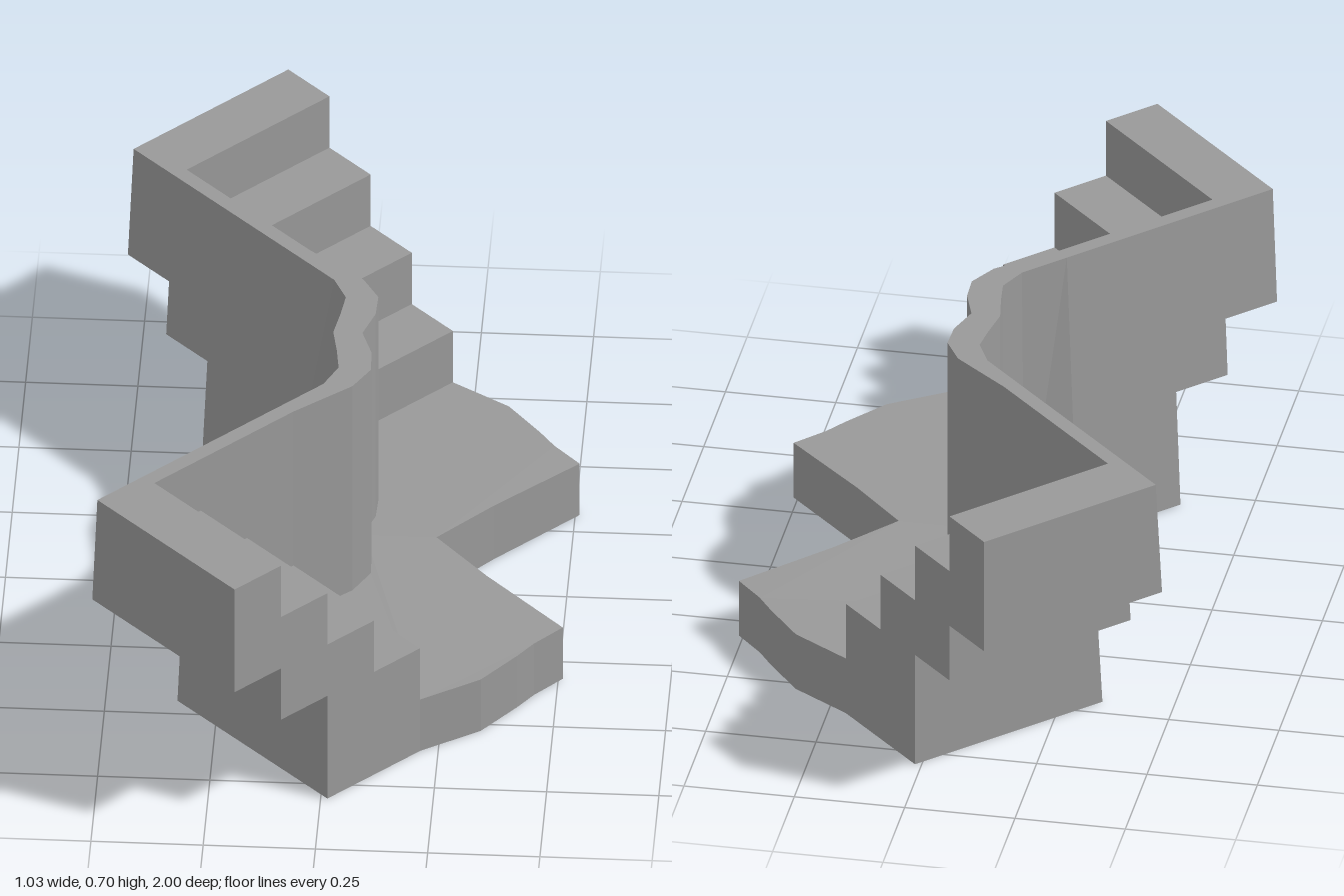
import * as THREE from 'three';

const STEP = 0.0975, RISE = 0.14, WALL_TOP = 0.7;

// Solid between a bottom and a top outline of [x, z] points; yTop may be a rule of z
function prism(bottom, top, y0, yTop) {
  const flat = top.map(([x, z]) => new THREE.Vector2(x, -z));
  if (THREE.ShapeUtils.area(flat) < 0) {
    bottom = [...bottom].reverse();
    top = [...top].reverse();
    flat.reverse();
  }
  const y1 = typeof yTop === 'function' ? yTop : () => yTop;
  const b = bottom.map(([x, z]) => [x, y0, z]);
  const t = top.map(([x, z]) => [x, y1(z), z]);
  const pos = [];
  const tri = (...corners) => corners.forEach((c) => pos.push(...c));
  for (const [i, j, k] of THREE.ShapeUtils.triangulateShape(flat, [])) {
    tri(t[i], t[j], t[k]);
    tri(b[i], b[k], b[j]);
  }
  b.forEach((_, i) => {
    const j = (i + 1) % b.length;
    tri(b[i], b[j], t[j]);
    tri(b[i], t[j], t[i]);
  });
  const g = new THREE.BufferGeometry();
  g.setAttribute('position', new THREE.Float32BufferAttribute(pos, 3));
  g.computeVertexNormals();
  return g;
}

export function createModel() {
  const model = new THREE.Group();
  model.name = 'cornerStaircase';
  const stone = new THREE.MeshStandardMaterial({ color: 0x999999 });
  stone.name = 'grey stone';

  // Points along the outer and the wall side of a flight
  const outer = (k) => [0.21 + -STEP * k, 0.61 + STEP * k];
  const inner = (k) => [-0.09 - STEP * k, 0.31 + STEP * k];
  const bottoms = [0, 0, 2 * RISE, 3 * RISE];

  // Wall sections: stair face a, back face b, outward lean of the back toward the ground
  const sections = [
    { a: [0.045, 0], b: [-0.02, 0], lean: 0 },
    { a: [0.07, 0.075], b: [-0.008, 0.07], lean: 0 },
    { a: [0.072, 0.14], b: [0, 0.135], lean: 0 },
    { a: [0.035, 0.205], b: [-0.03, 0.2], lean: 0.01 },
  ];
  for (let k = 0; k <= 4; k++) {
    const [x, z] = inner(k);
    sections.push({ a: [x, z], b: [x - 0.025, z - 0.025], lean: 0.043 });
  }
  const backAt = (s, y) => s.b.map((v) => v - s.lean * (WALL_TOP - y));

  for (const side of [1, -1]) {
    const wing = new THREE.Group();
    wing.name = side > 0 ? 'frontFlight' : 'backFlight';
    model.add(wing);
    const flip = (pts) => pts.map(([x, z]) => [x, z * side]);
    const add = (name, bottom, top, y0, y1) => {
      const mesh = new THREE.Mesh(prism(flip(bottom), flip(top), y0, y1), stone);
      mesh.name = name;
      wing.add(mesh);
    };

    // Low landing with the notched front edge, slightly raised at the middle
    const landing = [
      [0.21, 0], [0.33, 0.135], [0.51, 0.315], [0.45, 0.38], [0.415, 0.43], [0.34, 0.525],
      outer(0), inner(0), ...sections.slice(0, 4).reverse().map((s) => s.a),
    ];
    add('landing', landing, landing, 0, (z) => RISE + 0.01 * Math.max(0, 1 - Math.abs(z) / 0.31));

    // Four steps
    for (let k = 0; k < 4; k++) {
      const quad = [outer(k), outer(k + 1), inner(k + 1), inner(k)];
      add('step', quad, quad, bottoms[k], RISE * (k + 2));
    }

    // Curved back wall, stepping up underneath along with the flight
    for (let i = 0; i < sections.length - 1; i++) {
      const s = sections[i], e = sections[i + 1];
      const y0 = i < 4 ? 0 : bottoms[i - 4];
      add('backWall', [s.a, e.a, backAt(e, y0), backAt(s, y0)], [s.a, e.a, e.b, s.b], y0, WALL_TOP);
    }
  }
  return model;
}
